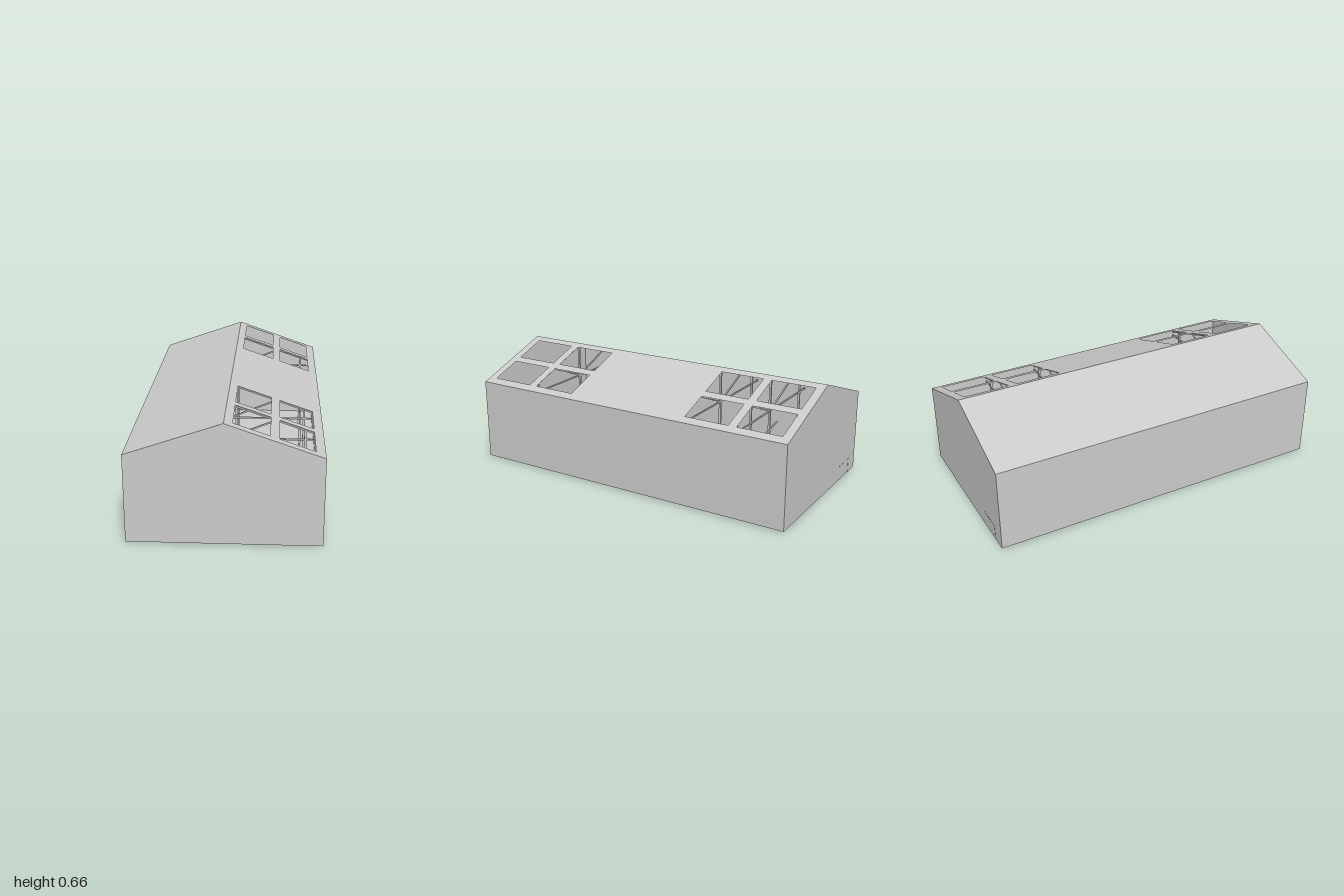
import * as THREE from 'three';

const W = 0.505, L = 1, BASE = 0.005, EAVE = 0.485, RIDGE = 0.66;
const roofY = x => RIDGE - Math.abs(x) * (RIDGE - EAVE) / W;
const skin = new THREE.MeshStandardMaterial({ color: 0xcccccc, side: THREE.DoubleSide, flatShading: true });
const steel = new THREE.MeshStandardMaterial({ color: 0xcccccc, flatShading: true });

function add(parent, name, geometry, material = skin) {
  const mesh = new THREE.Mesh(geometry, material);
  mesh.name = name;
  parent.add(mesh);
  return mesh;
}

function box(parent, name, size, pos) {
  const mesh = add(parent, name, new THREE.BoxGeometry(...size), steel);
  mesh.position.set(...pos);
  return mesh;
}

// Square bar running between two points
function bar(parent, name, a, b, t = 0.008) {
  const from = new THREE.Vector3(...a), to = new THREE.Vector3(...b);
  const mesh = box(parent, name, [t, t, from.distanceTo(to)], [0, 0, 0]);
  mesh.position.copy(from).lerp(to, 0.5);
  mesh.lookAt(to);
  return mesh;
}

function rect(path, x0, x1, y0, y1) {
  path.moveTo(x0, y0);
  path.lineTo(x1, y0);
  path.lineTo(x1, y1);
  path.lineTo(x0, y1);
  path.closePath();
  return path;
}

// One roof slope: a flat sheet with openings, lifted onto the pitch
function roofSlope(side, openings) {
  const shape = rect(new THREE.Shape(), Math.min(0, side * W), Math.max(0, side * W), -L, L);
  for (const [x0, x1, z0, z1] of openings) shape.holes.push(rect(new THREE.Path(), x0, x1, -z1, -z0));
  const g = new THREE.ShapeGeometry(shape).rotateX(-Math.PI / 2);
  const p = g.attributes.position;
  for (let i = 0; i < p.count; i++) p.setY(i, roofY(p.getX(i)));
  g.computeVertexNormals();
  return g;
}

export function createModel() {
  const hall = new THREE.Group();
  hall.name = 'hall';

  // Gable ends
  const gable = new THREE.Shape([[-W, BASE], [W, BASE], [W, EAVE], [0, RIDGE], [-W, EAVE]]
    .map(([x, y]) => new THREE.Vector2(x, y)));
  add(hall, 'frontGable', new THREE.ShapeGeometry(gable)).position.z = L;
  const back = add(hall, 'backGable', new THREE.ShapeGeometry(gable));
  back.rotation.y = Math.PI;
  back.position.z = -L;

  // Long walls and floor
  for (const [name, s] of [['leftWall', 1], ['rightWall', -1]]) {
    const wall = add(hall, name, new THREE.PlaneGeometry(2 * L, EAVE - BASE));
    wall.rotation.y = s * Math.PI / 2;
    wall.position.set(s * W, (EAVE + BASE) / 2, 0);
  }
  const floor = add(hall, 'floor', new THREE.PlaneGeometry(2 * W, 2 * L));
  floor.rotation.x = -Math.PI / 2;
  floor.position.y = BASE;

  // Roof, with two groups of four skylights in the left slope
  const skylights = [];
  for (const [x0, x1] of [[0.043, 0.228], [0.275, 0.455]])
    for (const [z0, z1] of [[-0.95, -0.69], [-0.64, -0.38], [0.38, 0.64], [0.69, 0.95]])
      skylights.push([x0, x1, z0, z1]);
  add(hall, 'leftRoof', roofSlope(1, skylights));
  add(hall, 'rightRoof', roofSlope(-1, []));

  // Inner frames set between the skylights
  const frames = new THREE.Group();
  frames.name = 'innerFrames';
  hall.add(frames);
  for (const z of [-0.665, -0.35, 0.35, 0.665]) {
    for (const s of [-1, 1]) {
      bar(frames, 'post', [s * 0.41, BASE, z], [s * 0.41, roofY(0.41) - 0.02, z], 0.012);
      bar(frames, 'rafter', [s * 0.49, roofY(0.49) - 0.015, z], [0, RIDGE - 0.015, z]);
      bar(frames, 'brace', [0, 0.45, z], [s * 0.25, roofY(0.25) - 0.02, z]);
    }
    bar(frames, 'kingPost', [0, BASE, z], [0, RIDGE - 0.015, z], 0.012);
    bar(frames, 'tieBeam', [-0.49, 0.45, z], [0.49, 0.45, z]);
  }
  bar(frames, 'ridgeBeam', [0, RIDGE - 0.015, -0.98], [0, RIDGE - 0.015, 0.98]);
  bar(frames, 'diagonalBrace', [0.06, 0.42, -0.74], [0.11, 0.36, -0.7]);

  // Staircase below the front skylights
  const stairs = new THREE.Group();
  stairs.name = 'stairs';
  hall.add(stairs);
  const steps = 13;
  for (let i = 0; i < steps; i++)
    box(stairs, 'tread', [0.045, 0.005, 0.018], [0.066, 0.03 + i * 0.02, 0.63 - i * 0.02]);
  for (const x of [0.044, 0.088])
    bar(stairs, 'stringer', [x, 0.012, 0.64], [x, 0.27, 0.382], 0.006);

  // Door frame edge showing on the back wall
  box(hall, 'doorPost', [0.008, 0.085, 0.004], [-0.41, 0.0475, -0.999]);
  box(hall, 'doorLintel', [0.145, 0.005, 0.004], [-0.341, 0.09, -0.999]);

  // Small feet under the floor
  for (const [x, z, d] of [[-0.497, 0.65, 0.015], [-0.007, 0.3, 0.015], [0.405, -0.43, 0.08], [-0.007, -0.71, 0.06]])
    box(hall, 'foot', [0.012, 0.006, d], [x, 0.003, z]);

  return hall;
}
